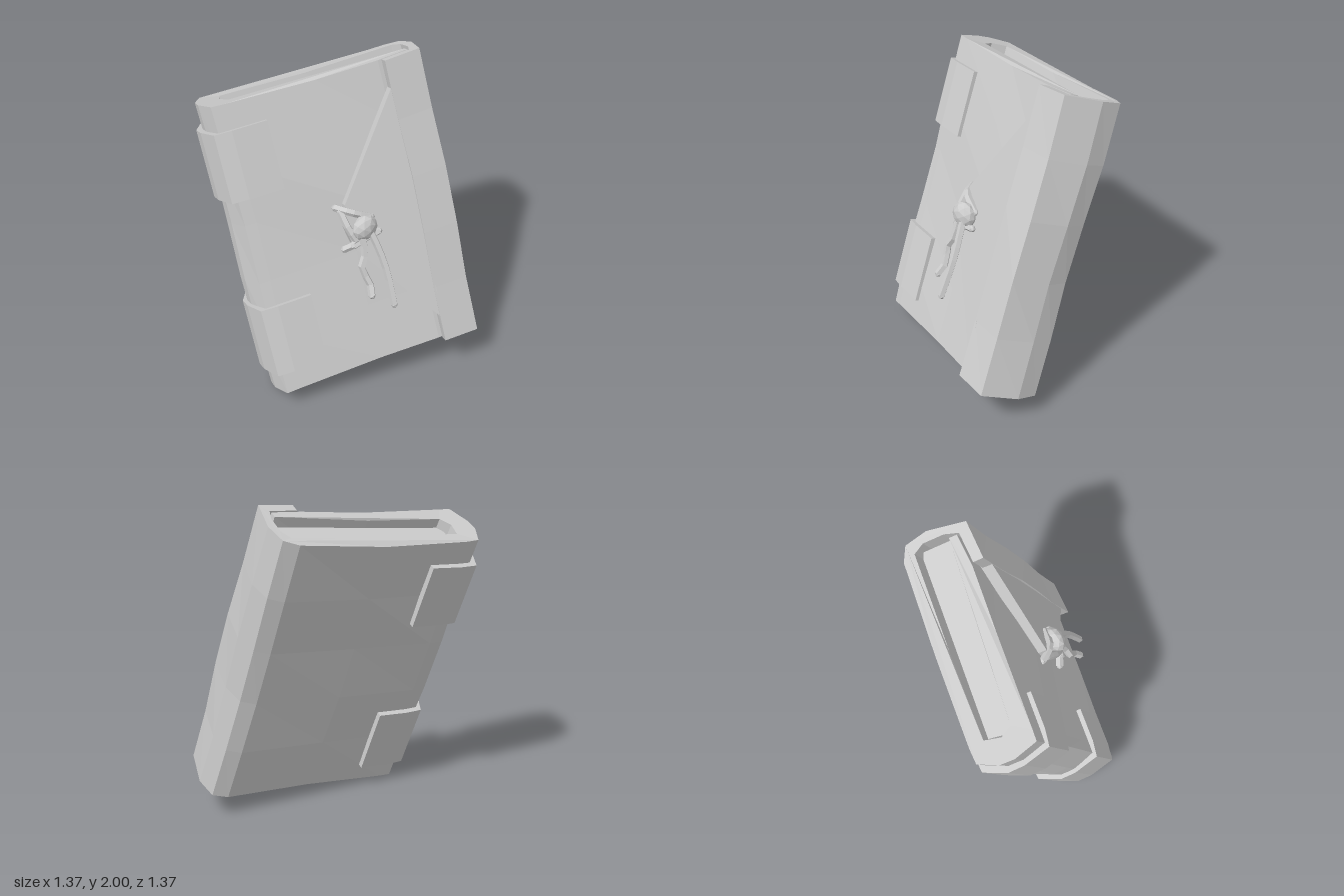
import * as THREE from 'three';

const mat = new THREE.MeshStandardMaterial({ color: 0xcccccc, flatShading: true });

function part(name, geometry, parent) {
  const mesh = new THREE.Mesh(geometry, mat);
  mesh.name = name;
  parent.add(mesh);
  return mesh;
}

// Prism standing on a cross-section given as [x, z] points, from y0 to y1
function prism(points, y0, y1, steps = 1) {
  const shape = new THREE.Shape(points.map(([x, z]) => new THREE.Vector2(x, -z)));
  const g = new THREE.ExtrudeGeometry(shape, { depth: y1 - y0, steps, bevelEnabled: false });
  return g.rotateX(-Math.PI / 2).translate(0, y0, 0);
}

// Hand-worn look: the rims sag in the middle and the walls wobble a little
function wear(g) {
  const p = g.attributes.position;
  for (let i = 0; i < p.count; i++) {
    const x = p.getX(i), y = p.getY(i), z = p.getZ(i);
    const sag = 1 - 0.022 * (1 - (x / 0.66) ** 2);
    p.setXYZ(i, x + 0.008 * Math.sin(4 * y + 6 * z), y * sag, z + 0.006 * Math.sin(5 * y + 3 * x));
  }
  g.computeVertexNormals();
  return g;
}

// Faceted cord through a few points
function cord(points, radius) {
  const curve = new THREE.CatmullRomCurve3(points.map((p) => new THREE.Vector3(...p)));
  const g = new THREE.TubeGeometry(curve, 6, radius, 5, false);
  return g;
}

export function createModel() {
  const model = new THREE.Group();
  model.name = 'wrappedBook';

  // The book leans back and is turned slightly
  const book = new THREE.Group();
  book.name = 'book';
  book.rotation.set(-0.366, -0.314, 0);
  book.position.y = 1;
  model.add(book);

  // Cover: front panel, spine, back, fore edge, then folded over the front
  const cover = [
    [0.6, 0.12], [0.4, 0.148], [0, 0.155], [-0.56, 0.165], [-0.63, 0.165],
    [-0.68, 0.02], [-0.685, -0.07], [-0.64, -0.19], [-0.55, -0.2], [0, -0.215],
    [0.56, -0.22], [0.65, -0.18], [0.685, -0.04], [0.65, 0.195],
    [0.42, 0.22], [0.42, 0.158], [0.605, 0.135],
    [0.63, 0.05], [0.625, -0.08], [0.585, -0.145],
    [0, -0.13], [-0.53, -0.11], [-0.545, -0.01], [-0.5, 0.06], [0, 0.065], [0.6, 0.072],
  ];
  part('cover', wear(prism(cover, -0.925, 0.925, 5)), book);

  // Page block, set back from both rims
  const pages = [[-0.54, 0.07], [0.6, 0.08], [0.6, -0.11], [0.56, -0.125], [-0.52, -0.1]];
  part('pages', prism(pages, -0.855, 0.855), book);

  // Pointed closing flap on the front
  const flapShape = new THREE.Shape([
    [0.43, 0.765], [-0.02, 0.14], [-0.05, 0], [-0.02, -0.14], [0.43, -0.765],
  ].map(([x, y]) => new THREE.Vector2(x, y)));
  const flap = new THREE.ExtrudeGeometry(flapShape, { depth: 0.065, bevelEnabled: false });
  part('closingFlap', flap.translate(0, 0, 0.148), book);

  // Two straps wrapped round the spine
  const strap = [
    [-0.345, 0.188], [-0.56, 0.195], [-0.665, 0.185], [-0.712, 0.02], [-0.718, -0.08],
    [-0.665, -0.22], [-0.55, -0.235], [-0.345, -0.24],
    [-0.345, -0.18], [-0.6, -0.16], [-0.65, -0.05], [-0.6, 0.12], [-0.345, 0.12],
  ];
  [[0.345, 0.765], [-0.785, -0.345]].forEach(([y0, y1], i) => {
    part(i ? 'lowerStrap' : 'upperStrap', prism(strap, y0, y1), book);
  });

  // Knot and its cords, hanging straight down
  const tie = new THREE.Group();
  tie.name = 'tie';
  tie.position.y = 1;
  model.add(tie);

  const knot = part('knot', new THREE.IcosahedronGeometry(0.085, 1), tie);
  knot.scale.set(1, 1, 0.7);
  knot.position.set(-0.02, 0.075, 0.245);

  const cords = {
    shortEnd: [[-0.05, 0.04, 0.26], [-0.06, -0.08, 0.3], [-0.1, -0.16, 0.32], [-0.07, -0.24, 0.36], [-0.09, -0.31, 0.41]],
    longEnd: [[0, 0.05, 0.28], [0.02, -0.06, 0.34], [0.03, -0.18, 0.4], [0.02, -0.38, 0.49]],
    upperLoop: [[-0.12, 0.17, 0.08], [-0.07, 0.165, 0.17], [0.05, 0.11, 0.22]],
    sideLoop: [[-0.11, 0.16, 0.12], [-0.105, 0.07, 0.2], [-0.08, -0.01, 0.24], [-0.14, -0.06, 0.2]],
    crossCord: [[-0.1, -0.03, 0.24], [0, 0.01, 0.26], [0.07, 0.025, 0.27]],
  };
  for (const [name, points] of Object.entries(cords)) {
    const mesh = part(name, cord(points, 0.023), tie);
    // Cap both ends with small faceted tips
    for (const end of [points[0], points[points.length - 1]]) {
      const tip = part('cordTip', new THREE.IcosahedronGeometry(0.022, 0), mesh);
      tip.position.set(...end);
    }
  }
  return model;
}
